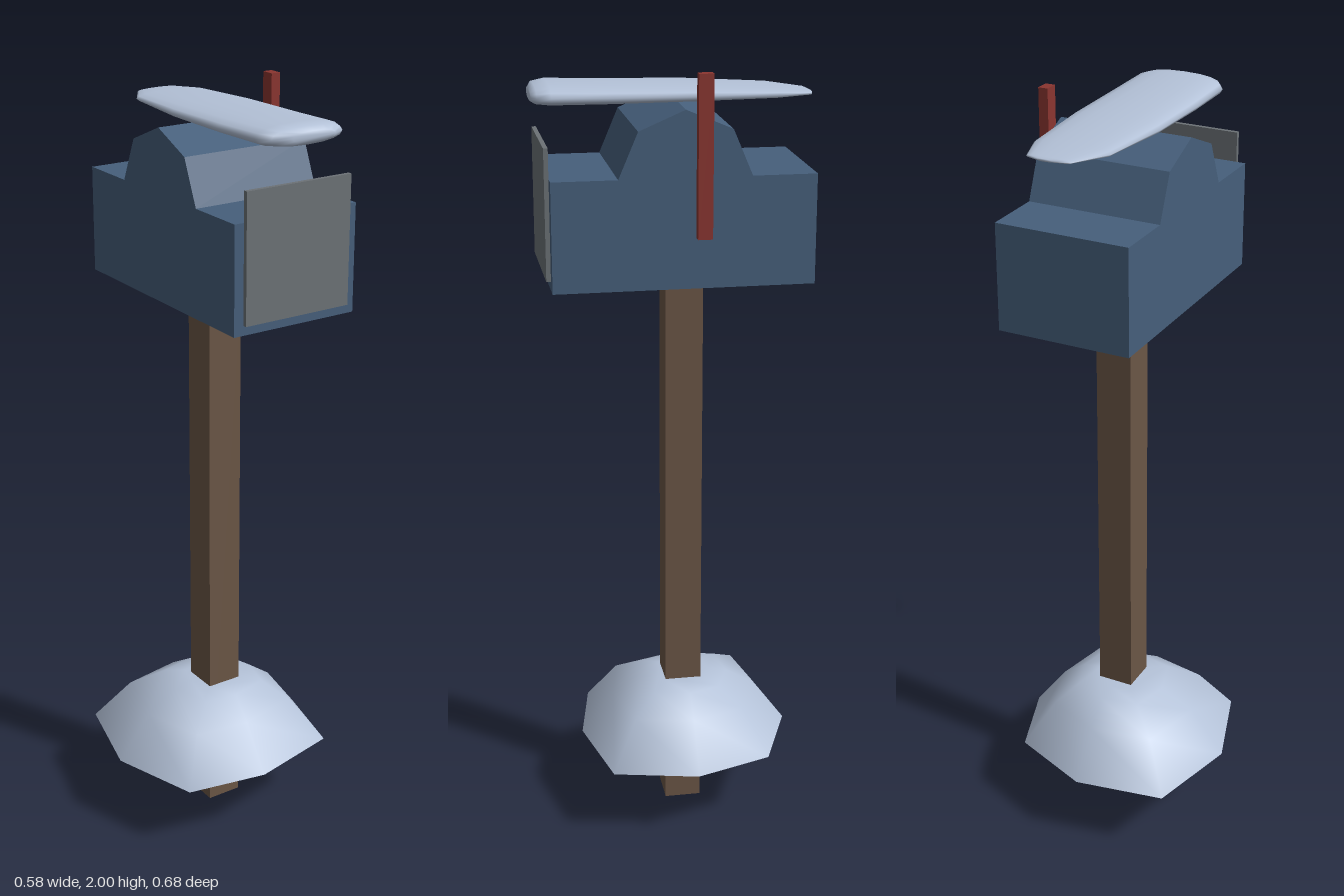
import * as THREE from 'three';

const mat = (color, side = THREE.FrontSide) =>
  new THREE.MeshStandardMaterial({ color, side });

// Skin over equal-length rings of points, with optional end caps
function loft(rings, capStart, capEnd) {
  const n = rings[0].length;
  const index = [];
  for (let i = 0; i < rings.length - 1; i++) {
    for (let j = 0; j < n; j++) {
      const k = (j + 1) % n;
      const a = i * n + j, b = i * n + k;
      index.push(a, b, a + n, b, b + n, a + n);
    }
  }
  const last = (rings.length - 1) * n;
  for (let j = 1; j < n - 1; j++) {
    if (capStart) index.push(0, j + 1, j);
    if (capEnd) index.push(last, last + j, last + j + 1);
  }
  const g = new THREE.BufferGeometry();
  g.setAttribute('position', new THREE.Float32BufferAttribute(rings.flat(2), 3));
  g.setIndex(index);
  g.computeVertexNormals();
  return g;
}

export function createModel() {
  const model = new THREE.Group();
  model.name = 'mailbox';

  const add = (name, geometry, material) => {
    const mesh = new THREE.Mesh(geometry, material);
    mesh.name = name;
    model.add(mesh);
    return mesh;
  };
  // Box given by its minimum and maximum corners
  const addBox = (name, min, max, material) => {
    const size = max.map((v, i) => v - min[i]);
    add(name, new THREE.BoxGeometry(...size), material)
      .position.set(...max.map((v, i) => (v + min[i]) / 2));
  };

  addBox('post', [-0.03, 0, -0.08], [0.065, 1.49, 0.015], mat(0x6b5646));
  addBox('door', [-0.13, 1.51, 0.309], [0.165, 1.83, 0.32], mat(0x6c7276));
  addBox('flag', [0.19, 1.61, -0.075], [0.215, 2, -0.039], mat(0x8a3530));

  // Box body: side profile (z, y) with a faceted hump, extruded across x
  const profile = [
    [-0.333, 1.485], [0.308, 1.485], [0.308, 1.755], [0.148, 1.755], [0.1, 1.867],
    [-0.013, 1.915], [-0.127, 1.867], [-0.175, 1.755], [-0.333, 1.755],
  ];
  const body = new THREE.ExtrudeGeometry(
    new THREE.Shape(profile.map(([z, y]) => new THREE.Vector2(z, y))),
    { depth: 0.345, bevelEnabled: false });
  body.rotateY(-Math.PI / 2).translate(0.19, 0, 0);
  add('body', body, mat(0x465f7b));

  // Snow drift round the post: an open, uneven eight-sided dome
  const rim = [
    [0.288, -0.037], [0.22, -0.238], [0.01, -0.324], [-0.225, -0.282],
    [-0.288, -0.037], [-0.213, 0.195], [0, 0.236], [0.24, 0.181],
  ];
  const levels = [[0.19, 1, 0], [0.307, 0.69, 0.003], [0.355, 0.42, 0.015], [0.365, 0.24, 0.015]];
  const drift = levels.map(([y, s, dx]) =>
    rim.map(([x, z]) => [x * s + dx, y, (z + 0.04) * s - 0.04]));
  const snow = mat(0xb4c2d8, THREE.DoubleSide);
  add('snowDrift', loft(drift, false, true), snow);

  // Snow on the roof: flat rounded sections [z, xMin, xMax, yMin, yMax]
  const sections = [
    [-0.343, 0.03, 0.07, 1.925, 1.931],
    [-0.335, -0.015, 0.1, 1.924, 1.934],
    [-0.25, -0.07, 0.128, 1.919, 1.944],
    [-0.05, -0.095, 0.138, 1.915, 1.955],
    [0.15, -0.097, 0.139, 1.913, 1.96],
    [0.295, -0.094, 0.138, 1.913, 1.965],
    [0.328, -0.072, 0.128, 1.917, 1.96],
    [0.34, -0.02, 0.1, 1.924, 1.95],
  ];
  const power = (v, p) => Math.sign(v) * Math.abs(v) ** p;
  const cap = sections.map(([z, x0, x1, y0, y1]) =>
    Array.from({ length: 16 }, (_, j) => {
      const a = (j / 16) * Math.PI * 2;
      return [
        (x0 + x1) / 2 + power(Math.cos(a), 0.85) * (x1 - x0) / 2,
        (y0 + y1) / 2 + power(Math.sin(a), 0.85) * (y1 - y0) / 2,
        z,
      ];
    }));
  add('roofSnow', loft(cap, true, true), snow);

  return model;
}
